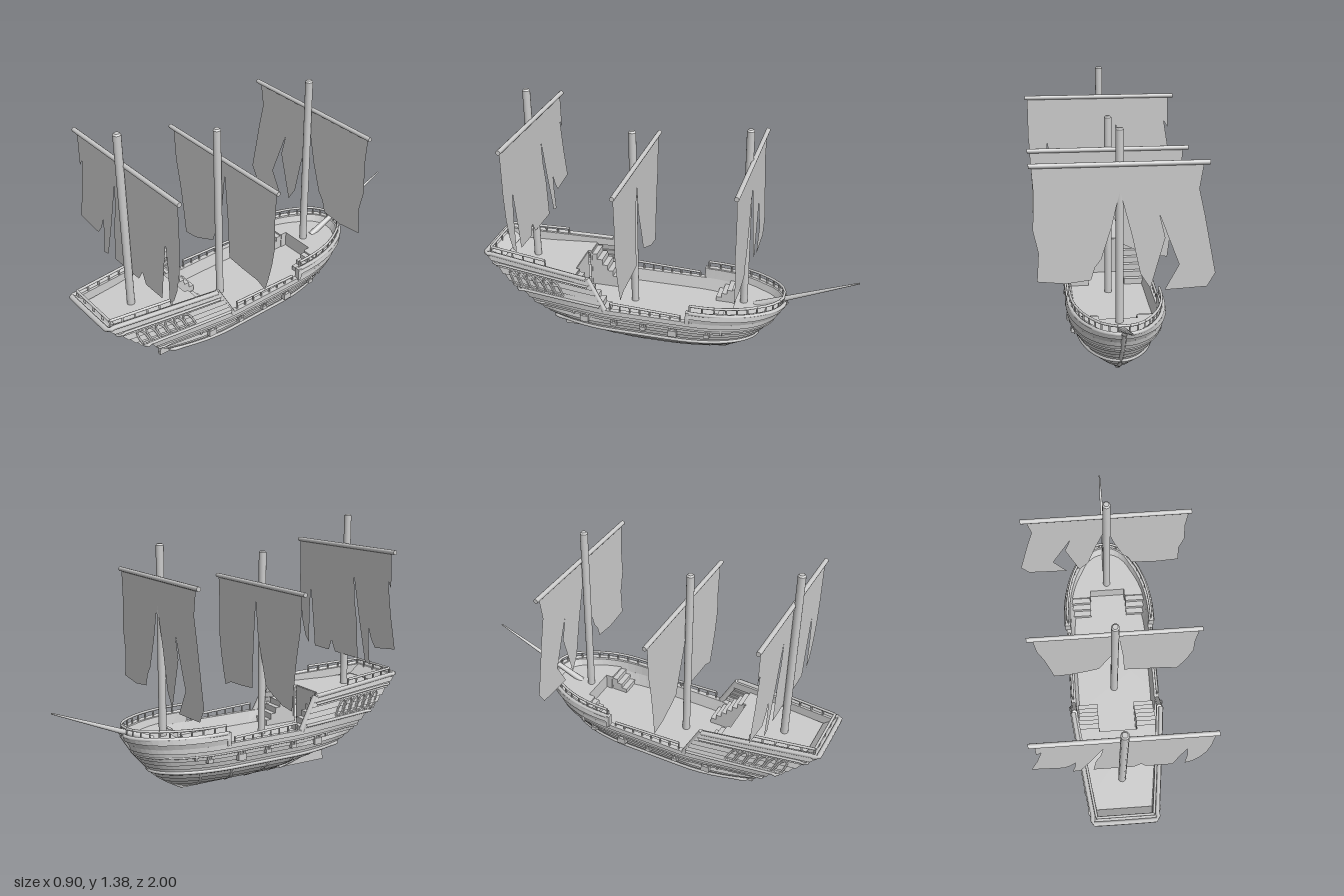
import * as THREE from 'three';

const flat = new THREE.MeshStandardMaterial({ color: 0xcccccc, flatShading: true, side: THREE.DoubleSide });
const smooth = new THREE.MeshStandardMaterial({ color: 0xcccccc });
const V = (x, y, z) => new THREE.Vector3(x, y, z);
const lerp = THREE.MathUtils.lerp;

// piecewise linear lookup in [[key, value], ...]
function at(table, v) {
  if (v <= table[0][0]) return table[0][1];
  for (let i = 1; i < table.length; i++) {
    const [a, p] = table[i - 1], [b, q] = table[i];
    if (v <= b) return lerp(p, q, (v - a) / (b - a));
  }
  return table[table.length - 1][1];
}
// hull lines by height: bow end, stern end, widest half breadth, stern half breadth
const bowZ = y => at([[0, -.3], [.05, -.39], [.1, -.46], [.24, -.58], [.335, -.64]], y);
const sternZ = y => at([[0, .3], [.05, .42], [.11, .57], [.13, .6], [.2, .68], [.28, .75], [.31, .81], [.42, .94], [.45, .985]], y);
const breadth = y => at([[0, .01], [.03, .075], [.06, .125], [.09, .158], [.13, .187], [.2, .222], [.25, .238], [.3, .248]], y);
const sternB = y => at([[0, .008], [.06, .03], [.11, .09], [.13, .12], [.2, .155], [.28, .185], [.45, .163]], y);

function half(z, y, off = 0) {
  const f = bowZ(y) - off, s = sternZ(y) + off, B = breadth(y);
  const d = THREE.MathUtils.clamp((z - f) / .42, 0, 1);
  let w = B * Math.sqrt(1 - (1 - d) ** 2);
  const start = Math.min(.28, s - .3);
  if (z > start) w = lerp(B, sternB(y), Math.min(1, (z - start) / (s - start)) ** (y < .2 ? 1.8 : 1.1));
  return Math.max(0, w + off * Math.min(1, d * 4));
}
const tilt = (z, y) => y > .28 && z > .2 ? .06 * (z - .4) * (y - .28) / .17 : 0;

// one waterline: kind 'full' | 'bow' (open aft at z1) | 'stern' (open forward at z0)
function waterline(kind, y, off, cut) {
  const N = kind === 'full' ? 30 : 16, side = [];
  const a = kind === 'stern' ? cut : bowZ(y) - off, b = kind === 'bow' ? cut : sternZ(y) + off;
  for (let i = 0; i <= N; i++) {
    const z = lerp(a, b, kind === 'stern' ? i / N : (i / N) ** 1.7);
    side.push(V(half(z, y, off), y + tilt(z, y), z));
  }
  const other = side.map(p => V(-p.x, p.y, p.z)).reverse();
  return kind === 'bow' ? [...other, ...side] : [...side, ...other];
}
function loft(rows) {
  const pos = [], idx = [], n = rows[0].length;
  rows.forEach(r => r.forEach(p => pos.push(p.x, p.y, p.z)));
  for (let i = 0; i + 1 < rows.length; i++) for (let j = 0; j + 1 < n; j++) {
    const a = i * n + j, c = a + n;
    idx.push(a, c, a + 1, a + 1, c, c + 1);
  }
  const g = new THREE.BufferGeometry();
  g.setAttribute('position', new THREE.Float32BufferAttribute(pos, 3));
  g.setIndex(idx);
  const out = g.toNonIndexed();
  out.computeVertexNormals();
  return out;
}
// overlapping planks, then the cap and the inner wall down to the deck
function planking(kind, levels, deckY, cut = () => 0) {
  const rows = [];
  for (let i = 0; i + 1 < levels.length; i++) {
    rows.push(waterline(kind, levels[i], i ? .007 : 0, cut(levels[i])));
    rows.push(waterline(kind, levels[i + 1], 0, cut(levels[i + 1])));
  }
  const top = levels[levels.length - 1];
  rows.push(waterline(kind, top, -.026, cut(top)), waterline(kind, deckY, -.026, cut(deckY)));
  return loft(rows);
}

export function createModel() {
  const model = new THREE.Group();
  model.position.x = .02;
  const root = new THREE.Group();
  root.name = 'sailingShip';
  root.add(model);
  const add = (name, geo, mat = flat) => {
    const m = new THREE.Mesh(geo, mat);
    m.name = name;
    model.add(m);
    return m;
  };
  const box = (name, w, h, d, x, y, z) => add(name, new THREE.BoxGeometry(w, h, d)).position.set(x, y, z);
  const beam = (name, a, b, r0, r1 = r0, sides = 8) => {
    const m = add(name, new THREE.CylinderGeometry(r1, r0, a.distanceTo(b), sides), smooth);
    m.position.copy(a).lerp(b, .5);
    m.quaternion.setFromUnitVectors(V(0, 1, 0), b.clone().sub(a).normalize());
  };
  const tube = (name, pts, r, n = pts.length * 2) =>
    add(name, new THREE.TubeGeometry(new THREE.CatmullRomCurve3(pts, false, 'catmullrom', .15), n, r, 6), smooth);

  // hull and raised ends
  const poopCut = y => .29 + Math.max(0, y - .28) * .55;
  add('hull', planking('full', [0, .03, .06, .09, .13, .155, .18, .205, .23, .255, .28], .21));
  add('bowBulwark', planking('bow', [.28, .308, .335], .28, () => -.16));
  add('sternCastle', planking('stern', [.28, .31, .335, .365, .395, .42, .45], .41, poopCut));
  tube('wale', waterline('full', .13, .006), .011);
  tube('upperWale', waterline('full', .23, .005), .006);
  tube('bowCap', waterline('bow', .335, -.008, -.16), .011);
  tube('sternCap', waterline('stern', .45, -.004, .385), .013);
  tube('sternMoulding', waterline('stern', .41, .006, .375), .007);
  tube('sternSill', waterline('stern', .3, .004, .31), .009);

  // keel, stem, rudder fin and lower ribs
  box('keel', .02, .02, .9, 0, .01, .15);
  tube('stem', [0, .05, .1, .17, .24, .335].map(y => V(0, y + .005, bowZ(y))), .013);
  const fin = new THREE.Shape([[-.6, 0], [-.2, 0], [-.57, .125], [-.585, .125]].map(p => new THREE.Vector2(...p)));
  const finGeo = new THREE.ExtrudeGeometry(fin, { depth: .02, bevelEnabled: false });
  finGeo.rotateY(Math.PI / 2).translate(-.01, 0, 0);
  add('rudder', finGeo);
  for (const s of [1, -1]) {
    for (const z of [.4, .25, .1, -.08, -.25])
      tube('rib', [0, .02, .04, .06, .09, .13].map(y => {
        const zz = Math.min(z + (y - .06) * (z > 0 ? .5 : -.5), sternZ(y));
        return V(s * half(zz, y, .004), y + .006, zz);
      }), .009);
    tube('sternRib', [0, .03, .06, .09, .13].map(y => V(s * half(sternZ(y) - .02, y, .004), y + .005, sternZ(y))), .009);
    // slanted ends of the raised sides
    const a = poopCut(.28), b = poopCut(.45);
    beam('sideTrim', V(s * (half(a, .28) - .012), .27, a), V(s * (half(b, .45) - .012), .45, b), .015);
    box('bulwarkEnd', .03, .07, .02, s * (half(-.16, .31) - .012), .305, -.16);
  }

  // decks
  const deck = (name, y, ze, zn, zo) => {
    const side = [[.1, zn], [.1, ze]];
    for (let i = 0; i <= 16; i++) {
      const z = lerp(zo, ze, (1 - i / 16) ** 1.7);
      side.push([Math.max(.001, half(z, y) - .015), z]);
    }
    const pts = [...side, ...side.map(([x, z]) => [-x, z]).reverse()];
    const shape = new THREE.Shape(pts.map(([x, z]) => new THREE.Vector2(x, -z)));
    add(name, new THREE.ExtrudeGeometry(shape, { depth: .012, bevelEnabled: false }).rotateX(-Math.PI / 2).translate(0, y - .012, 0));
  };
  deck('mainDeckFore', .215, .1, .1, -.55);
  deck('mainDeckAft', .215, .1, .1, .66);
  deck('foreDeck', .3, -.33, -.37, -.6);
  deck('poopDeck', .425, .47, .49, .92);
  box('foreBulkhead', .2, .09, .01, 0, .255, -.372);
  box('aftBulkhead', .2, .21, .01, 0, .315, .493);
  for (const s of [1, -1]) {
    box('foreSideBulkhead', .12, .09, .01, s * .16, .255, -.333);
    box('aftSideBulkhead', .115, .21, .01, s * .155, .315, .473);
    box('forePassageWall', .008, .09, .04, s * .1, .255, -.353);
    // stairs
    for (let i = 0; i < 3; i++) box('foreStep', .105, .025 * (i + 1), .03, s * .153, .215 + .0125 * (i + 1), -.255 - .03 * i);
    for (let i = 0; i < 6; i++) box('aftStep', .105, .032 * (i + 1), .03, s * .153, .215 + .016 * (i + 1), .305 + .03 * i);
  }

  // railings: a bar on posts
  const rail = (name, pts, drop) => pts.forEach((p, i) => {
    if (i) beam(name, pts[i - 1], p, .007);
    beam(name + 'Post', V(p.x, p.y - drop, p.z), p, .005, .005, 6);
  });
  const bowSide = [];
  for (let i = 0; i <= 10; i++) {
    const z = lerp(-.622, -.17, (i / 10) ** 1.5);
    bowSide.push(V(half(z, .335, -.015), .375, z));
  }
  rail('bowRail', [...bowSide.map(p => V(-p.x, p.y, p.z)).reverse(), ...bowSide], .05);
  const poop = [];
  for (let i = 0; i <= 5; i++) {
    const z = lerp(.63, .955, i / 5);
    poop.push(V(half(z, .45) - .022, lerp(.5, .515, i / 5), z));
  }
  const back = [.08, 0, -.08].map(x => V(x, .515, .955));
  rail('poopRail', [...poop, ...back, ...poop.map(p => V(-p.x, p.y, p.z)).reverse()], .065);
  for (const s of [1, -1])
    rail('waistRail', Array.from({ length: 8 }, (_, i) => {
      const z = lerp(-.12, .26, i / 7);
      return V(s * (half(z, .28) - .012), lerp(.303, .32, i / 7), z);
    }), .045);

  // arched gallery windows on the sides and the stern
  const arch = (place, c, w) => {
    const pts = [[-w, .32], [-w, .36]];
    for (let i = 1; i < 6; i++) pts.push([-w * Math.cos(i * Math.PI / 6), .36 + .035 * Math.sin(i * Math.PI / 6)]);
    pts.push([w, .36], [w, .32], [-w, .32]);
    tube('windowArch', pts.map(([d, y]) => place(c + d, y)), .005, 24);
  };
  for (let i = 0; i < 5; i++) arch((x, y) => V(x, y + tilt(sternZ(y), y), sternZ(y) + .006), (i - 2) * .05, .02);
  for (const s of [1, -1]) for (let i = 0; i < 6; i++)
    arch((z, y) => {
      const zz = z + (y - .32) * .5;
      return V(s * (half(zz, y) + .006), y + tilt(zz, y), zz);
    }, .54 + i * .05, .02);

  // gun ports
  for (const s of [1, -1]) [.41, .24, .08, -.08, -.26].forEach((z, i) => {
    const big = i % 3 === 0, w = big ? .045 : .03, x = s * (half(z, .2) + .008);
    box('gunPort', .03, big ? .035 : .02, w, x, big ? .195 : .2, z);
    for (const d of [-1, 1]) box('gunPortPeg', .022, .018, .01, x, big ? .216 : .214, z + d * w * .35);
  });

  // masts, yards and bowsprit
  const rigs = [
    { z: .745, base: .42, top: 1.38, yardZ: .725, yardY: 1.21 },
    { z: .19, base: .21, top: 1.21, yardZ: .165, yardY: 1.035 },
    { z: -.41, base: .29, top: 1.28, yardZ: -.43, yardY: 1.11 },
  ];
  for (const r of rigs) {
    beam('mast', V(0, r.base, r.z), V(0, r.top - .008, r.z), .02, .02, 14);
    beam('mastTop', V(0, r.top - .008, r.z), V(0, r.top, r.z), .02, .013, 14);
    beam('yard', V(-.428, r.yardY, r.yardZ), V(.428, r.yardY, r.yardZ), .012, .012, 10);
  }
  beam('bowsprit', V(0, .29, -.47), V(0, .503, -1), .018, .004, 10);

  // torn sails, outlines from top left around the ragged foot to top right
  const sails = [
    [[-.38, 1.21], [-.385, 1.02], [-.36, 1.06], [-.39, .88], [-.43, .705], [-.27, .685], [-.235, .73], [-.21, .79],
      [-.215, .7], [-.23, .585], [-.19, .595], [-.13, .82], [-.075, 1.05], [-.085, .92], [-.11, .8], [-.125, .6], [.08, .6],
      [.115, .66], [.14, .6], [.275, .6], [.295, .75], [.325, .94], [.335, .8], [.335, .61], [.37, .645], [.4, .72],
      [.425, .84], [.435, .98], [.435, 1.21]],
    [[-.38, 1.035], [-.37, .85], [-.34, .7], [-.32, .55], [-.305, .42], [-.22, .43], [-.12, .47], [-.06, .5], [-.03, .6],
      [.02, .75], [.045, .94], [.065, .7], [.075, .46], [.18, .45], [.3, .445], [.36, .42], [.385, .5], [.41, .6],
      [.43, .72], [.425, .85], [.435, 1.035]],
    [[-.38, 1.11], [-.36, .98], [-.39, .85], [-.42, .7], [-.45, .55], [-.41, .48], [-.31, .475], [-.2, .47], [-.27, .6],
      [-.17, .86], [-.2, .74], [-.13, .48], [-.08, .56], [-.04, .75], [.02, .98], [.06, .8], [.11, .64], [.14, .6], [.16, .535],
      [.28, .52], [.42, .535], [.41, .68], [.435, .8], [.425, .95], [.435, 1.11]],
  ];
  sails.forEach((pts, i) => {
    const shape = new THREE.Shape(pts.map(([x, y]) => new THREE.Vector2(x - .02, y)));
    add('sail', new THREE.ShapeGeometry(shape)).position.z = rigs[i].yardZ;
  });
  return root;
}
